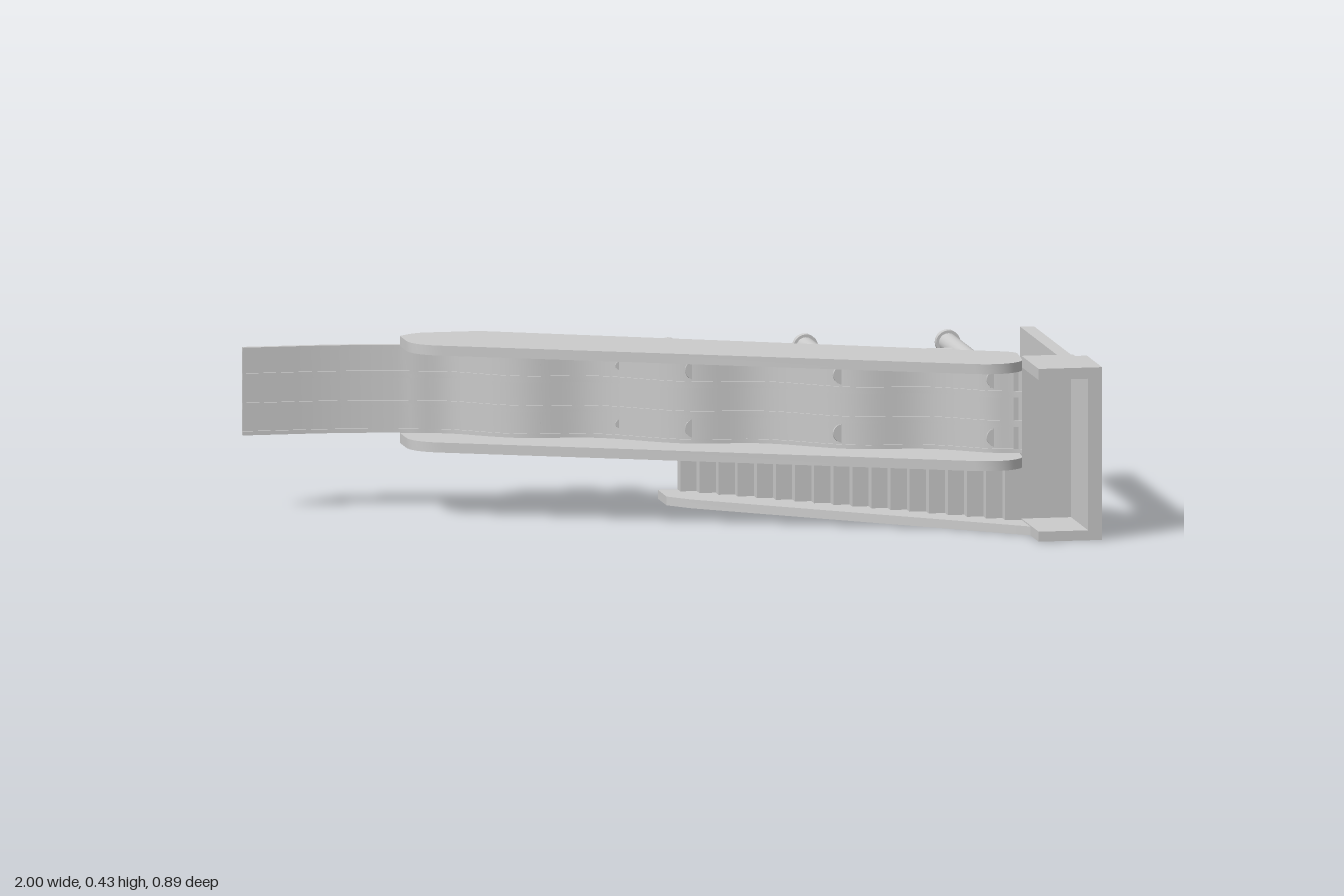
import * as THREE from 'three';
import { toCreasedNormals } from 'three/addons/utils/BufferGeometryUtils.js';

// A playground slide lying on its side: its height runs along z, its width along y.
const mat = new THREE.MeshStandardMaterial({ color: 0xcccccc });

function add(parent, name, geometry) {
  const mesh = new THREE.Mesh(geometry, mat);
  mesh.name = name;
  parent.add(mesh);
  return mesh;
}

// Extrude an outline drawn in (x, z) from y0 to y1
function slab(parent, name, shape, y0, y1) {
  const g = new THREE.ExtrudeGeometry(shape, { depth: y1 - y0, bevelEnabled: false, curveSegments: 10 });
  g.rotateX(-Math.PI / 2).translate(0, y0, 0);
  return add(parent, name, toCreasedNormals(g, 0.5));
}
const outline = (pts) => new THREE.Shape(pts.map(([x, z]) => new THREE.Vector2(x, -z)));

function box(parent, name, [x0, x1], [y0, y1], [z0, z1]) {
  const g = new THREE.BoxGeometry(x1 - x0, y1 - y0, z1 - z0);
  return add(parent, name, g.translate((x0 + x1) / 2, (y0 + y1) / 2, (z0 + z1) / 2));
}

function rod(parent, name, a, b, r) {
  const from = new THREE.Vector3(...a), dir = new THREE.Vector3(...b).sub(from);
  const mesh = add(parent, name, new THREE.CylinderGeometry(r, r, dir.length(), 20));
  mesh.position.copy(from).addScaledVector(dir, 0.5);
  mesh.quaternion.setFromUnitVectors(new THREE.Vector3(0, 1, 0), dir.normalize());
}

// Height of the sliding surface: flat run-out, short curve, then a wavy slope
function bedZ(x) {
  if (x < -0.85) return -0.43;
  if (x < -0.6) return -0.43 + 0.03 * ((x + 0.85) / 0.25) ** 2;
  const fade = THREE.MathUtils.smoothstep(x, -0.6, -0.45) * (1 - THREE.MathUtils.smoothstep(x, 0.72, 0.83));
  return -0.4 + 0.437 * (x + 0.6) + 0.024 * fade * Math.sin((2 * Math.PI * (x + 0.05)) / 0.39);
}

// Strip following the sliding surface between two offsets
function strip(parent, name, y0, y1, low, high) {
  const top = [], bottom = [], n = 110;
  for (let i = 0; i <= n; i++) {
    const x = -1 + (1.84 * i) / n, z = bedZ(x);
    top.push([x, z + high]);
    bottom.unshift([x, z + low]);
  }
  slab(parent, name, outline([...top, ...bottom]), y0, y1);
}

export function createModel() {
  const model = new THREE.Group();
  model.name = 'playgroundSlide';

  // Sliding bed with three lanes between raised ridges
  const bed = new THREE.Group();
  bed.name = 'slideBed';
  model.add(bed);
  strip(bed, 'bedSheet', 0.19, 0.41, -0.015, -0.006);
  for (const [y0, y1] of [[0.19, 0.2], [0.255, 0.271], [0.329, 0.345], [0.4, 0.41]])
    strip(bed, 'laneRidge', y0, y1, -0.012, 0);

  // Side boards with rounded ends
  const board = new THREE.Shape();
  board.moveTo(-0.61, 0.4);
  board.lineTo(-0.61, 0.32);
  board.bezierCurveTo(-0.61, 0.265, -0.58, 0.235, -0.53, 0.215);
  board.lineTo(0.7, -0.335);
  board.bezierCurveTo(0.76, -0.362, 0.825, -0.335, 0.83, -0.28);
  board.lineTo(0.838, -0.18);
  board.quadraticCurveTo(0.838, -0.145, 0.79, -0.13);
  board.lineTo(-0.4, 0.445);
  board.lineTo(-0.54, 0.445);
  board.quadraticCurveTo(-0.57, 0.443, -0.61, 0.4);
  slab(model, 'rightSideBoard', board, 0.165, 0.19);
  slab(model, 'leftSideBoard', board, 0.408, 0.433);

  // Platform with guards on both sides and a back wall
  const tower = new THREE.Group();
  tower.name = 'platform';
  model.add(tower);
  box(tower, 'platformFloor', [0.82, 0.97], [0.02, 0.41], [0.19, 0.22]);
  box(tower, 'rightGuard', [0.84, 0.97], [0, 0.025], [0.22, 0.445]);
  box(tower, 'leftGuard', [0.84, 0.97], [0.405, 0.433], [0.22, 0.445]);
  box(tower, 'backWall', [0.965, 1], [0, 0.433], [0.247, 0.445]);
  box(tower, 'wallPanel', [0.965, 1], [0.025, 0.405], [0.11, 0.247]);
  box(tower, 'rightLeg', [0.965, 1], [0.025, 0.115], [-0.445, 0.11]);
  box(tower, 'leftLeg', [0.965, 1], [0.31, 0.405], [-0.445, 0.11]);

  // Stairs: a solid flight and its outer side plate
  const steps = 18, flight = [[0.25, -0.445], [0.1, -0.445]];
  for (let i = 0; i < steps; i++) {
    const x = 0.1 + (0.74 * i) / steps, z = -0.445 + (0.665 * (i + 1)) / steps;
    flight.push([x, z], [x + 0.74 / steps, z]);
  }
  flight.push([0.965, 0.22], [0.965, 0.19]);
  slab(model, 'stairs', outline(flight), 0.02, 0.165);
  slab(model, 'stairSidePlate', outline([[0.25, -0.445], [0.05, -0.445], [0.05, -0.33],
    [0.1, -0.27], [0.84, 0.335], [0.97, 0.335], [0.97, 0.195]]), 0, 0.022);

  // Two rows of support posts, with rails and short struts between them
  const postX = [-0.26, 0.075, 0.42, 0.78];
  const rails = [[-0.36], [-0.31, -0.165], [-0.265, -0.085]];
  for (const y of [0.227, 0.373]) {
    const row = new THREE.Group();
    row.name = 'supportRow';
    model.add(row);
    for (const x of postX) {
      rod(row, 'post', [x, y, -0.44], [x, y, bedZ(x) - 0.008], 0.024);
      rod(row, 'foot', [x, y, -0.445], [x, y, -0.425], 0.031);
    }
    rails.forEach((levels, i) => {
      const mid = (postX[i] + postX[i + 1]) / 2;
      for (const z of levels) rod(row, 'rail', [postX[i], y, z], [postX[i + 1], y, z], 0.012);
      rod(row, 'strut', [mid, y, levels[0]], [mid, y, levels[1] ?? bedZ(mid) - 0.008], 0.011);
    });
  }
  return model;
}
